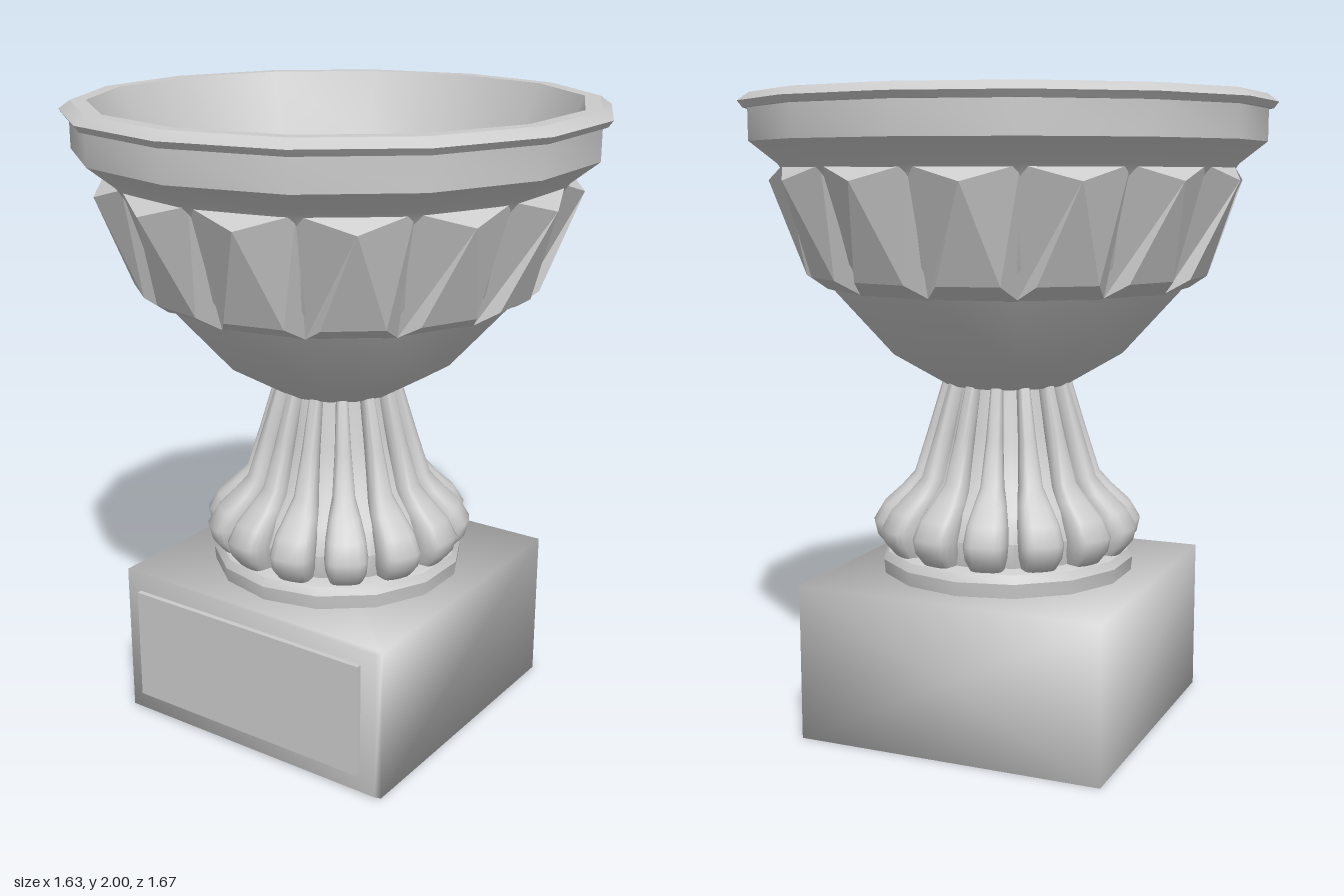
import * as THREE from 'three';
import { toCreasedNormals } from 'three/addons/utils/BufferGeometryUtils.js';

const SIDES = 14;
const STEP = (Math.PI * 2) / SIDES;
const material = new THREE.MeshStandardMaterial({ color: 0xcccccc });

function addMesh(parent, name, geometry) {
  const mesh = new THREE.Mesh(geometry, material);
  mesh.name = name;
  parent.add(mesh);
  return mesh;
}

// Turned shape from [radius, y] points
function lathe(points, sides, start) {
  const profile = points.map(([r, y]) => new THREE.Vector2(r, y));
  return new THREE.LatheGeometry(profile, sides, start);
}

// Fourteen-sided turned part
function turned(points, crease = 0.5) {
  return toCreasedNormals(lathe(points, SIDES, 0), crease);
}

// Skin over closed rings stacked upwards, each an array of [x, y, z]
function loft(rings, crease) {
  const n = rings[0].length;
  const index = [];
  for (let i = 0; i < rings.length - 1; i++) {
    for (let j = 0; j < n; j++) {
      const a = i * n + j, b = i * n + ((j + 1) % n);
      index.push(a, b, b + n, a, b + n, a + n);
    }
  }
  const geometry = new THREE.BufferGeometry();
  geometry.setAttribute('position', new THREE.Float32BufferAttribute(rings.flat(2), 3));
  geometry.setIndex(index);
  return toCreasedNormals(geometry, crease);
}

// Ring of valleys on the bowl's corners with ridges between; spread is half a ridge's angle
function fluteRing(valleyR, valleyY, ridgeR, ridgeY, spread) {
  const ring = [];
  const add = (a, r, y) => ring.push([r * Math.sin(a), y, r * Math.cos(a)]);
  for (let i = 0; i < SIDES; i++) {
    const middle = (i + 0.5) * STEP;
    add(i * STEP, valleyR, valleyY);
    add(middle - spread, ridgeR, ridgeY);
    add(middle + spread, ridgeR, ridgeY);
  }
  return ring;
}

// Rounded-square ring of a rib whose outer face lies at the given radius
function ribRing([y, outer, halfWidth, depth]) {
  const square = (v) => Math.sign(v) * Math.abs(v) ** 0.65;
  return Array.from({ length: 16 }, (_, i) => {
    const a = (i / 16) * Math.PI * 2;
    return [halfWidth * square(Math.sin(a)), y, outer - depth + depth * square(Math.cos(a))];
  });
}

export function createModel() {
  const model = new THREE.Group();
  model.name = 'pedestalUrn';

  // Softly shaded block base, bevelled around its front face only
  const corner = 0.497 * Math.SQRT2;
  const block = lathe([
    [0, -0.497], [corner, -0.497], [corner, 0.482], [corner - 0.02, 0.497], [0, 0.497],
  ], 4, Math.PI / 4);
  block.rotateX(Math.PI / 2).scale(1, 0.498, 1);
  const base = addMesh(model, 'base', toCreasedNormals(block, Math.PI));
  base.position.set(-0.005, 0.2475, 0);

  // Raised plate on the front
  const plate = addMesh(model, 'frontPlate', new THREE.BoxGeometry(0.86, 0.37, 0.04));
  plate.position.set(-0.005, 0.255, 0.494);

  // Collar on the base
  addMesh(model, 'collar', turned([
    [0, 0.49], [0.405, 0.49], [0.41, 0.54], [0.395, 0.565], [0.38, 0.572], [0, 0.574],
  ]));

  // Stem core
  addMesh(model, 'stemCore', turned([
    [0.345, 0.565], [0.36, 0.65], [0.32, 0.73], [0.255, 0.8], [0.205, 0.95], [0.165, 1.13],
  ], 0.7));

  // Bulbous ribs around the stem: y, outer radius, half width, depth
  const ribProfile = [
    [0.57, 0.345, 0.001, 0.001], [0.57, 0.39, 0.052, 0.045], [0.61, 0.423, 0.064, 0.055],
    [0.655, 0.433, 0.068, 0.06], [0.71, 0.4, 0.062, 0.055], [0.76, 0.345, 0.05, 0.045],
    [0.81, 0.3, 0.036, 0.035], [0.95, 0.255, 0.026, 0.03], [1.13, 0.2, 0.018, 0.025],
  ];
  const ribGeometry = loft(ribProfile.map(ribRing), 0.9);
  const ribs = new THREE.Group();
  ribs.name = 'stemRibs';
  for (let i = 0; i < SIDES; i++) {
    addMesh(ribs, 'stemRib', ribGeometry).rotation.y = (i + 0.5) * STEP;
  }
  model.add(ribs);

  // Bowl outside with cornice and rim
  addMesh(model, 'bowl', turned([
    [0, 1.095], [0.2, 1.1], [0.37, 1.2], [0.55, 1.4], [0.61, 1.5], [0.685, 1.74],
    [0.72, 1.79], [0.805, 1.857], [0.805, 1.955], [0.82, 1.955], [0.835, 1.975],
    [0.8, 2], [0.752, 2],
  ]));

  // Hollow inside: steep wall down to a rounded floor
  addMesh(model, 'bowlHollow', turned([
    [0.752, 2], [0.635, 1.75], [0.5, 1.46], [0.4, 1.27], [0.32, 1.205], [0.18, 1.165], [0, 1.155],
  ], 1));

  // Faceted flutes around the bowl, pointed at the top and broad below
  addMesh(model, 'bowlFlutes', loft([
    fluteRing(0.54, 1.4, 0.535, 1.4, 0.145),
    fluteRing(0.575, 1.41, 0.633, 1.45, 0.145),
    fluteRing(0.705, 1.785, 0.747, 1.74, 0.001),
    fluteRing(0.695, 1.79, 0.685, 1.785, 0.001),
  ], 0.1));

  return model;
}
